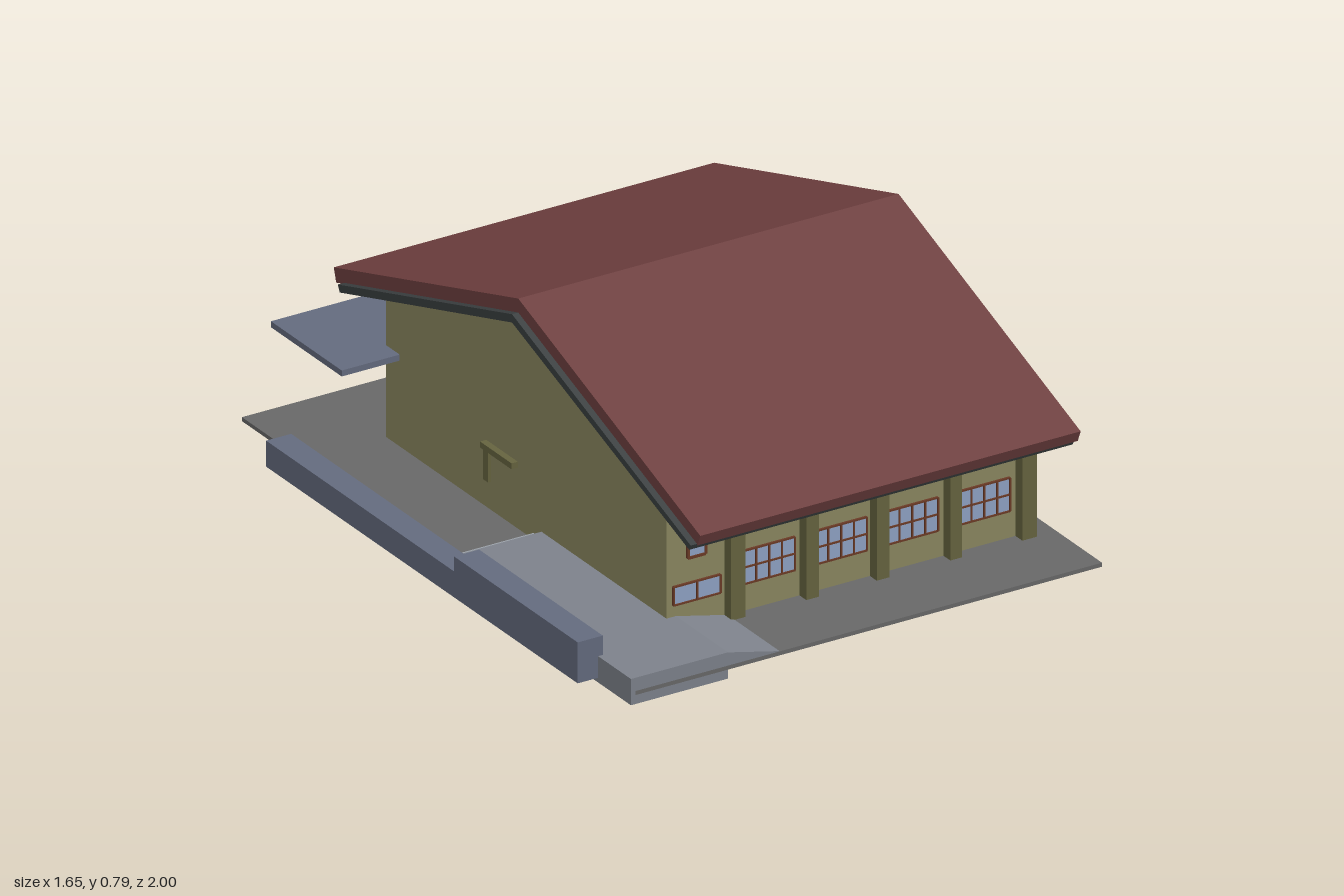
import * as THREE from 'three';

const mat = (color) => new THREE.MeshStandardMaterial({ color, flatShading: true });
const M = {
  wall: mat(0x8a8760), pillar: mat(0x66643f), roof: mat(0x6e3f3f), fascia: mat(0x3a3f40),
  ground: mat(0x686868), concrete: mat(0x7d828b), blue: mat(0x646b7e), glass: mat(0x8fa3c4),
  frame: mat(0x6b3a26), louvre: mat(0x96602c), door: mat(0x573c28), awning: mat(0x75591f),
  black: mat(0x202020), step: mat(0x9aa0a8),
};

// Box given by its limits on each axis
function box(parent, name, m, x0, x1, y0, y1, z0, z1) {
  const mesh = new THREE.Mesh(new THREE.BoxGeometry(x1 - x0, y1 - y0, z1 - z0), m);
  mesh.position.set((x0 + x1) / 2, (y0 + y1) / 2, (z0 + z1) / 2);
  mesh.name = name;
  parent.add(mesh);
  return mesh;
}

// Profile of [z, y] points carried along x
function alongX(parent, name, m, pts, x0, x1) {
  const shape = new THREE.Shape(pts.map(([z, y]) => new THREE.Vector2(-z, y)));
  const geo = new THREE.ExtrudeGeometry(shape, { depth: x1 - x0, bevelEnabled: false });
  geo.rotateY(Math.PI / 2);
  const mesh = new THREE.Mesh(geo, m);
  mesh.position.x = x0;
  mesh.name = name;
  parent.add(mesh);
}

// Pane with a grid of bars, facing +z and centred on its origin
function gridWindow(name, w, h, cols, rows, pane = M.glass, bar = 0.005) {
  const g = new THREE.Group();
  g.name = name;
  box(g, 'pane', pane, -w / 2, w / 2, -h / 2, h / 2, -0.004, 0.003);
  for (let i = 0; i <= cols; i++) {
    const x = -w / 2 + (w * i) / cols;
    box(g, 'uprightBar', M.frame, x - bar / 2, x + bar / 2, -h / 2, h / 2, -0.004, 0.007);
  }
  for (let j = 0; j <= rows; j++) {
    const y = -h / 2 + (h * j) / rows;
    box(g, 'crossBar', M.frame, -w / 2, w / 2, y - bar / 2, y + bar / 2, -0.004, 0.0065);
  }
  return g;
}

export function createModel() {
  const model = new THREE.Group();
  model.name = 'hall';
  const base = 0.065;
  const wallX = 0.675, leftX = -0.485, frontZ = 0.735, backZ = -0.69;

  const place = (obj, x, y, z, turn = 0) => {
    obj.position.set(x, y, z);
    obj.rotation.y = turn;
    model.add(obj);
  };

  // Ground slab
  box(model, 'ground', M.ground, -0.75, 0.74, 0.053, base, -1, 1);

  // Gabled body
  alongX(model, 'walls', M.wall, [
    [frontZ, base], [backZ, base], [backZ, 0.485], [0.03, 0.722], [frontZ, 0.465],
  ], leftX, wallX);

  // Roof covering and the darker layer beneath it
  alongX(model, 'roof', M.roof, [
    [0.955, 0.452], [0.03, 0.785], [-0.907, 0.493], [-0.895, 0.452], [0.03, 0.74], [0.94, 0.417],
  ], -0.515, 0.70);
  alongX(model, 'roofLining', M.fascia, [
    [0.938, 0.421], [0.03, 0.743], [-0.855, 0.468], [-0.845, 0.448], [0.03, 0.718], [0.93, 0.405],
  ], -0.535, 0.69);

  // Pillars on the long sides
  for (const [x0, x1] of [[-0.3, -0.255], [-0.06, -0.02], [0.165, 0.205], [0.4, 0.437], [0.63, 0.676]]) {
    box(model, 'frontPillar', M.pillar, x0, x1, base, 0.455, frontZ - 0.01, 0.77);
    box(model, 'backPillar', M.pillar, x0, x1, base, 0.455, -0.72, backZ + 0.01);
  }
  // Pillars on the gable
  for (const [z0, z1] of [[0.275, 0.332], [-0.275, -0.215]]) {
    box(model, 'gablePillar', M.pillar, wallX - 0.01, 0.692, base, 0.608, z0, z1);
  }

  // Windows of the long sides
  for (const x of [-0.16, 0.07, 0.2975, 0.5275]) {
    place(gridWindow('frontWindow', 0.165, 0.1, 4, 2), x, 0.197, frontZ);
    if (x > 0) place(gridWindow('backWindow', 0.165, 0.1, 4, 2), x, 0.197, backZ, Math.PI);
  }
  place(gridWindow('wideWindow', 0.15, 0.055, 2, 1), -0.39, 0.168, frontZ);
  place(gridWindow('smallWindow', 0.056, 0.054, 1, 1, M.glass, 0.008), -0.39, 0.298, frontZ);

  // Gable windows with louvres above
  for (const z of [0.633, 0.445, -0.39, -0.578]) {
    place(gridWindow('gableWindow', 0.17, 0.1, 4, 2), wallX, 0.195, z, Math.PI / 2);
    place(gridWindow('louvre', 0.17, 0.115, 7, 7, M.louvre, 0.003), wallX, 0.361, z, Math.PI / 2);
  }

  // Double entrance door, knobs and canopy
  for (const [z0, z1, knob] of [[0.034, 0.155, 0.05], [-0.09, 0.031, 0.015]]) {
    box(model, 'entranceDoor', M.door, wallX - 0.005, 0.682, base, 0.265, z0, z1);
    const ball = new THREE.Mesh(new THREE.SphereGeometry(0.009, 10, 8), M.black);
    ball.name = 'doorKnob';
    ball.position.set(0.686, 0.16, knob);
    model.add(ball);
  }
  box(model, 'entranceCanopy', M.awning, wallX - 0.005, 0.825, 0.302, 0.357, -0.135, 0.198);

  // Counter with a glazed panel near the back corner
  box(model, 'counter', M.ground, wallX - 0.005, 0.73, base, 0.137, -0.66, -0.563);
  box(model, 'counterPanel', M.glass, wallX - 0.005, 0.688, 0.137, 0.235, -0.66, -0.563);

  // Back porch, doors and dividing fence
  box(model, 'backCanopy', M.blue, -0.67, -0.02, 0.323, 0.341, -0.98, -0.62);
  for (const x of [-0.385, -0.255]) {
    box(model, 'backDoor', M.door, x - 0.042, x + 0.042, base, 0.23, backZ - 0.008, backZ + 0.005);
  }
  box(model, 'fence', M.black, 0.179, 0.187, base, 0.25, -0.99, backZ);

  // Small ledge on the left end wall
  box(model, 'sideLedge', M.pillar, -0.505, leftX + 0.005, 0.248, 0.266, -0.18, -0.02);
  box(model, 'sideBracket', M.pillar, -0.495, leftX + 0.005, 0.15, 0.248, -0.18, -0.155);

  // Raised path, its step and the sloping ramp at the front
  box(model, 'path', M.concrete, -0.765, -0.455, 0.026, 0.105, 0.1, 1);
  box(model, 'pathStep', M.step, -0.764, -0.456, 0, 0.085, 0.06, 0.142);
  const slope = new THREE.Shape([
    new THREE.Vector2(-0.456, 0.055), new THREE.Vector2(-0.29, 0.055),
    new THREE.Vector2(-0.29, 0.066), new THREE.Vector2(-0.456, 0.105),
  ]);
  const ramp = new THREE.Mesh(new THREE.ExtrudeGeometry(slope, { depth: 0.265, bevelEnabled: false }), M.concrete);
  ramp.name = 'ramp';
  ramp.position.z = 0.735;
  model.add(ramp);

  // Stepped boundary wall
  box(model, 'lowBoundaryWall', M.blue, -0.83, -0.75, 0.04, 0.118, -0.75, 0.205);
  box(model, 'highBoundaryWall', M.blue, -0.83, -0.75, 0.04, 0.163, 0.205, 0.833);

  return model;
}
